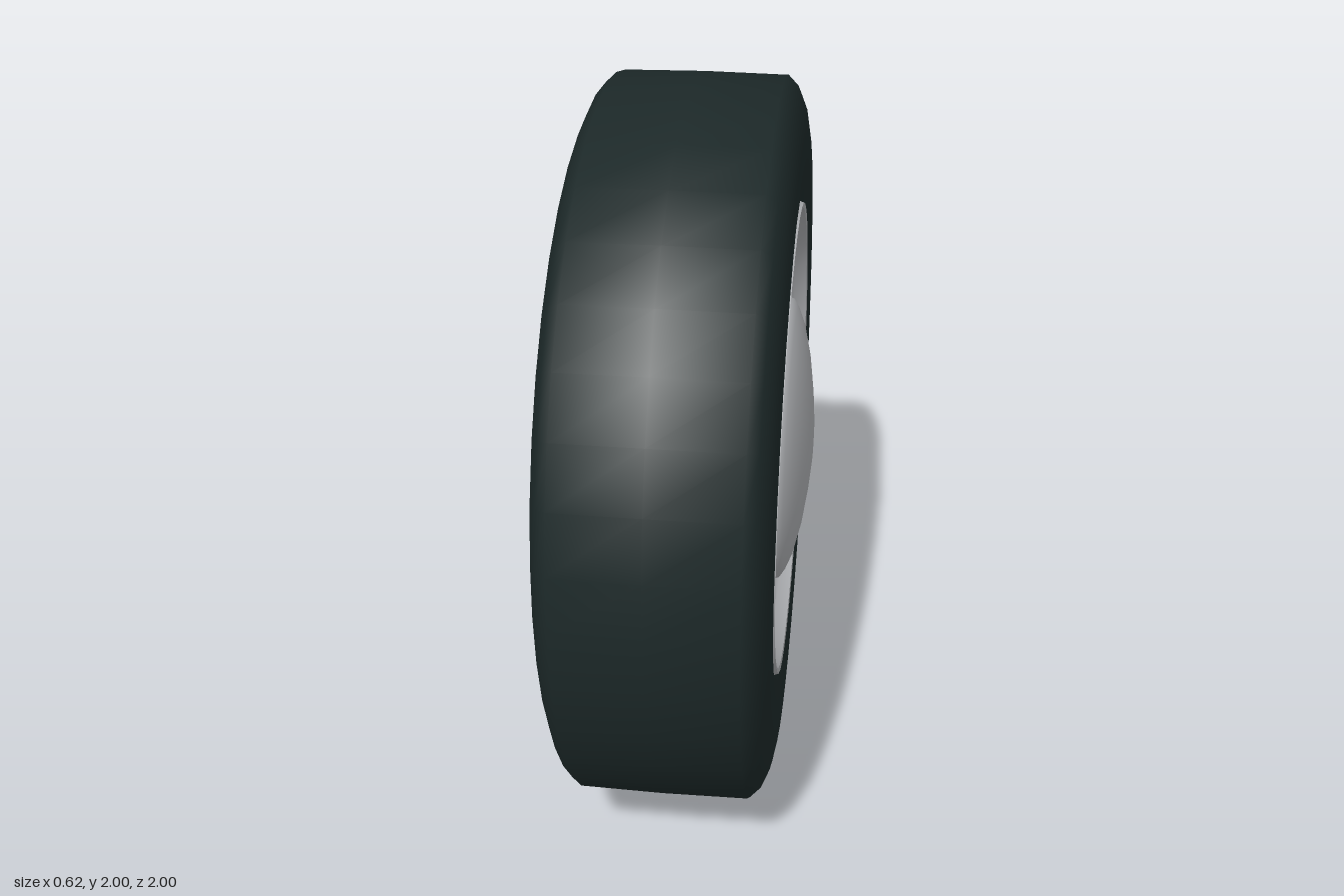
import * as THREE from 'three';
import { toCreasedNormals } from 'three/addons/utils/BufferGeometryUtils.js';

const rubber = new THREE.MeshStandardMaterial({ color: 0x1c2828, side: THREE.DoubleSide });
rubber.name = 'dark rubber';
const steel = new THREE.MeshStandardMaterial({ color: 0xacaeb1 });
steel.name = 'grey steel';

// Revolve a profile of [axial, radius] pairs about the x axis.
function revolve(name, profile, material, segments = 40, crease = 0.6) {
  const points = profile.map(([x, r]) => new THREE.Vector2(r, x));
  const geo = new THREE.LatheGeometry(points, segments).rotateZ(-Math.PI / 2);
  const mesh = new THREE.Mesh(toCreasedNormals(geo, crease), material);
  mesh.name = name;
  return mesh;
}

// Rounded slot with its long side tangential, centred on +x of the sector.
function slot(radius, halfLength, halfWidth, corner) {
  const path = new THREE.Path();
  const u = halfWidth - corner, v = halfLength - corner;
  path.absarc(radius + u, v, corner, 0, Math.PI / 2);
  path.absarc(radius - u, v, corner, Math.PI / 2, Math.PI);
  path.absarc(radius - u, -v, corner, Math.PI, Math.PI * 1.5);
  path.absarc(radius + u, -v, corner, Math.PI * 1.5, Math.PI * 2);
  return path;
}

// One tenth of the wheel disc: a gently crowned sector with one slot.
function slottedSector() {
  const inner = 0.4, outer = 0.5, half = Math.PI / 10;
  const shape = new THREE.Shape();
  shape.absarc(0, 0, outer, -half, half, false);
  shape.absarc(0, 0, inner, half, -half, true);
  shape.holes.push(slot(0.457, 0.087, 0.028, 0.024));
  const geo = new THREE.ShapeGeometry(shape, 6);
  const p = geo.attributes.position, n = geo.attributes.normal;
  const normal = new THREE.Vector3();
  for (let i = 0; i < p.count; i++) {
    const x = p.getX(i), y = p.getY(i), r = Math.hypot(x, y);
    const t = (r - inner) / (outer - inner);
    p.setZ(i, 0.215 - 0.035 * t * t);
    const slope = 0.7 * t;
    normal.set(slope * x / r, slope * y / r, 1).normalize();
    n.setXYZ(i, normal.x, normal.y, normal.z);
  }
  return geo.rotateY(Math.PI / 2);
}

export function createModel() {
  const wheel = new THREE.Group();
  wheel.name = 'wheel';

  // Tyre with flat sidewalls and rounded shoulders
  wheel.add(revolve('tyre', [
    [-0.285, 0.65], [-0.308, 0.7], [-0.315, 0.78], [-0.312, 0.86], [-0.3, 0.92],
    [-0.278, 0.97], [-0.25, 0.997], [-0.03, 1], [0.195, 0.997], [0.222, 0.97],
    [0.243, 0.92], [0.254, 0.86], [0.256, 0.78], [0.25, 0.7], [0.235, 0.65],
  ], rubber, 40, 0.9));

  // Rim: outer lip, dished flange, barrel, dished inner flange and lip
  wheel.add(revolve('rim', [
    [0.235, 0.664], [0.252, 0.658], [0.25, 0.644], [0.215, 0.627], [0.198, 0.605],
    [0.187, 0.57], [0.165, 0.535], [0.14, 0.515], [0.1, 0.495], [-0.14, 0.49],
    [-0.18, 0.497], [-0.2, 0.525], [-0.213, 0.57], [-0.228, 0.605],
    [-0.255, 0.63], [-0.292, 0.644], [-0.305, 0.656], [-0.295, 0.664],
  ], steel));

  // Wheel disc: ten slotted sectors with a turned-down outer edge
  const disc = new THREE.Group();
  disc.name = 'slottedDisc';
  const sector = slottedSector();
  for (let i = 0; i < 10; i++) {
    const mesh = new THREE.Mesh(sector, steel);
    mesh.name = 'slottedSector';
    mesh.rotation.x = i * Math.PI / 5;
    disc.add(mesh);
  }
  disc.add(revolve('discEdge', [[0.145, 0.521], [0.16, 0.518], [0.172, 0.51], [0.18, 0.5]], steel, 60, 0.9));
  wheel.add(disc);

  // Domed hub cap
  wheel.add(revolve('hubCap', [
    [0.2, 0.39], [0.222, 0.397], [0.236, 0.392], [0.25, 0.37], [0.268, 0.325],
    [0.288, 0.24], [0.302, 0.14], [0.309, 0.06], [0.31, 0],
  ], steel, 40, 0.9));

  // Dark backing plate behind the slots
  const plate = new THREE.Mesh(new THREE.CircleGeometry(0.476, 40).rotateY(Math.PI / 2), rubber);
  plate.name = 'backingPlate';
  plate.position.x = -0.03;
  wheel.add(plate);

  wheel.position.y = 1;
  const model = new THREE.Group();
  model.name = 'wheelModel';
  model.add(wheel);
  return model;
}
